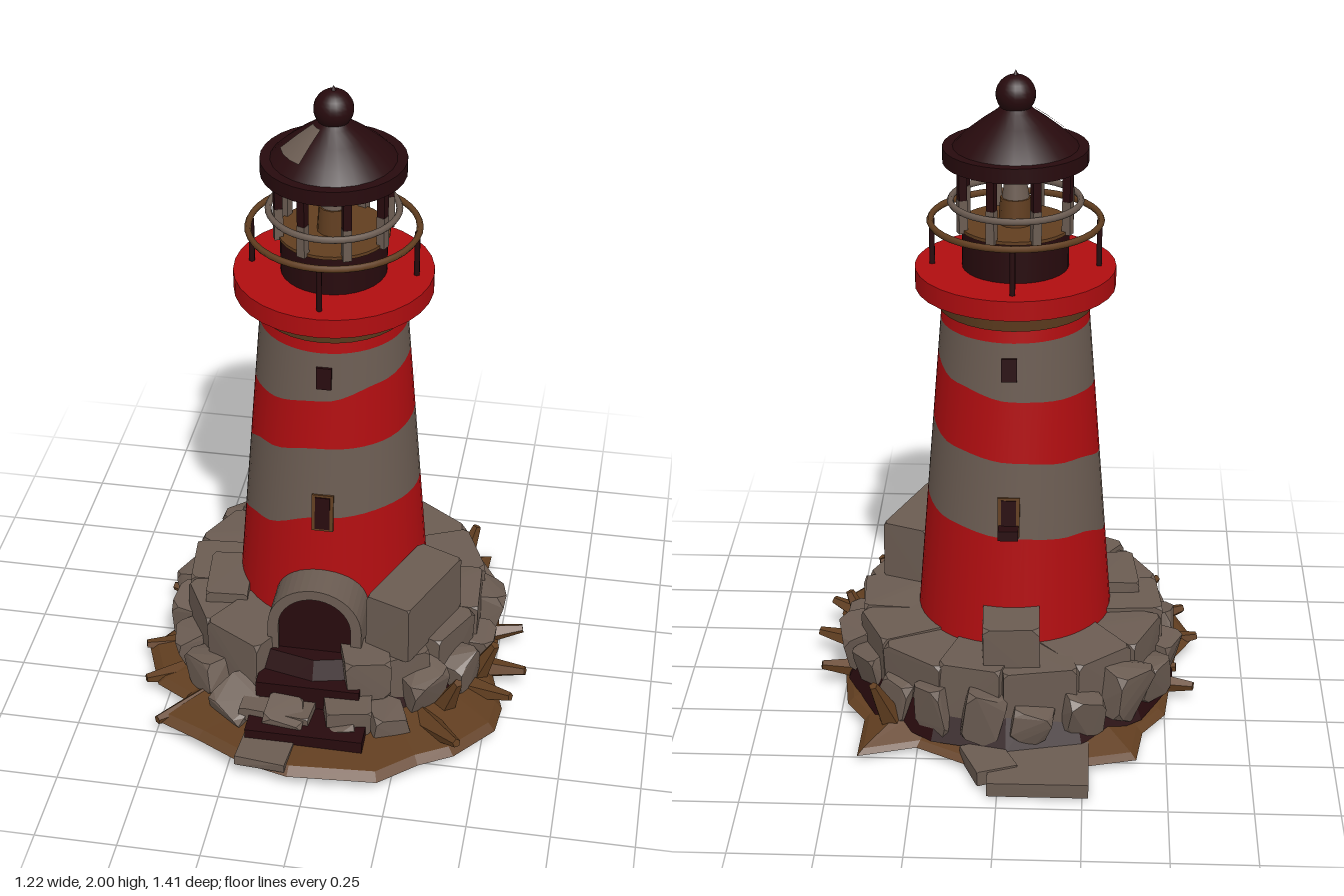
import * as THREE from 'three';
import { ConvexGeometry } from 'three/addons/geometries/ConvexGeometry.js';

const TAU = Math.PI * 2;

function material(name, color) {
  const m = new THREE.MeshStandardMaterial({ color });
  m.name = name;
  return m;
}

// Seeded random numbers for irregular rocks
let seed = 7;
function rand(a, b) {
  seed = (seed * 16807) % 2147483647;
  return a + (b - a) * (seed / 2147483647);
}

// Surface through closed rings of [x, y, z] points, lowest ring first
function loft(rings, smooth) {
  const n = rings[0].length, index = [];
  for (let r = 0; r < rings.length - 1; r++) {
    for (let i = 0; i < n; i++) {
      const a = r * n + i, b = r * n + (i + 1) % n;
      index.push(a, b, b + n, a, b + n, a + n);
    }
  }
  let g = new THREE.BufferGeometry();
  g.setAttribute('position', new THREE.Float32BufferAttribute(rings.flat(2), 3));
  g.setIndex(index);
  if (!smooth) g = g.toNonIndexed();
  g.computeVertexNormals();
  return g;
}

// Convex boulder: a jittered box with its corners cut off
function rockGeometry(w, h, d, jitter = 0.12, cut = 0.22) {
  const pts = [];
  for (const sx of [-1, 1]) for (const sy of [-1, 1]) for (const sz of [-1, 1]) {
    const c = [sx, sy, sz].map(s => s * (1 - rand(0, jitter)));
    for (let k = 0; k < 3; k++) {
      const p = c.map((v, j) => (j === k ? v * (1 - cut * rand(0.6, 1.4)) : v));
      pts.push(new THREE.Vector3(p[0] * w / 2, p[1] * h / 2, p[2] * d / 2));
    }
  }
  return new ConvexGeometry(pts);
}

export function createModel() {
  seed = 7;
  const red = material('red paint', 0xb00d10);
  const stone = material('grey stone', 0x6b5c52);
  const brown = material('brown earth', 0x613e20);
  const dark = material('dark maroon', 0x270a0d);

  const model = new THREE.Group();
  model.name = 'lighthouse';
  const tower = new THREE.Group();
  tower.name = 'tower';
  tower.position.set(-0.03, 0, -0.03);
  model.add(tower);

  function add(parent, name, geometry, mat, x = 0, y = 0, z = 0, ry = 0) {
    const m = new THREE.Mesh(geometry, mat);
    m.name = name;
    m.position.set(x, y, z);
    m.rotation.y = ry;
    parent.add(m);
    return m;
  }
  const rock = (name, x, y, z, w, h, d, ry = 0, jitter, cut) =>
    add(model, name, rockGeometry(w, h, d, jitter, cut), stone, x, y, z, ry);
  const drum = (name, rTop, rBottom, y0, y1, mat, sides = 32) =>
    add(tower, name, new THREE.CylinderGeometry(rTop, rBottom, y1 - y0, sides), mat, 0, (y0 + y1) / 2);

  // Ground slab with a ragged shoreline and a tapered underside
  const shore = [[-.2, .66], [-.05, .7], [.22, .68], [.33, .58], [.43, .52], [.54, .38], [.55, .27],
    [.5, .1], [.5, -.1], [.48, -.25], [.42, -.34], [.425, -.53], [.25, -.48], [.1, -.56], [-.25, -.56],
    [-.41, -.52], [-.43, -.38], [-.5, -.28], [-.52, -.1], [-.54, .05], [-.6, .16], [-.53, .34],
    [-.43, .4], [-.48, .52], [-.35, .58]];
  const level = (s, y, tilt) => shore.map(([x, z]) => [x * s, y + tilt * z, z * s]);
  add(model, 'ground', loft([level(0.001, 0, 0), level(0.82, 0.004, 0), level(1, 0.038, 0.035),
    level(0.96, 0.055, 0.04), level(0.6, 0.11, 0), level(0.001, 0.11, 0)]), brown);

  // Blunt roots around the shore, then stumps leaning on the rocks: tip x, y, z, upward slope
  for (const [x, y, z, rise] of [[-.59, .055, -.15, .03], [-.61, .055, .16, .03], [-.57, .06, .33, .03],
    [-.49, .065, .52, .04], [-.54, .05, -.03, .03], [.575, .075, -.1, .1], [.605, .075, .11, .1],
    [.575, .1, .27, .15], [.44, .12, .53, .2], [.42, .21, .36, 1.2], [.51, .2, .15, 1.2], [.38, .21, -.44, 1.2]]) {
    const g = new THREE.CylinderGeometry(0.014, 0.046, 0.2, 5).toNonIndexed();
    g.translate(0, -0.1, 0);
    g.computeVertexNormals();
    const root = add(model, 'root', g, brown, x, y, z);
    root.quaternion.setFromUnitVectors(new THREE.Vector3(0, 1, 0), new THREE.Vector3(x, rise, z).normalize());
  }

  // Dark core seen between the boulders
  const core = new THREE.CylinderGeometry(0.42, 0.52, 0.22, 14).toNonIndexed();
  core.computeVertexNormals();
  add(model, 'rockCore', core, dark, -0.02, 0.16, -0.02);

  // Lower tier of loose boulders
  for (let i = 0; i < 20; i++) {
    const t = (i + 0.5) / 20 * TAU;
    const front = Math.cos(t) > 0.8;
    const h = front ? rand(0.08, 0.12) : rand(0.13, 0.2);
    const r = front ? 0.51 : rand(0.45, 0.475);
    const boulder = rock('lowerBoulder', Math.sin(t) * r - 0.02, 0.06 + h / 2, Math.cos(t) * r - 0.01,
      rand(0.12, 0.16), h, rand(0.12, 0.16), 0, 0.35, 0.4);
    boulder.rotation.set(rand(0, 0.3), t + rand(-0.2, 0.2), rand(-0.25, 0.25), 'YXZ');
  }

  // Upper terrace of fitted blocks, open at the doorway
  for (let i = 0; i < 12; i++) {
    const t = 0.62 + i / 11 * (TAU - 1.24);
    const top = rand(0.29, 0.32);
    rock('terraceBlock', Math.sin(t) * 0.35 - 0.02, (top + 0.1) / 2, Math.cos(t) * 0.36 - 0.02,
      rand(0.2, 0.23), top - 0.1, 0.24, t + rand(-0.1, 0.1), 0.1, 0.16);
  }

  // Large blocks beside and behind the tower
  rock('largeSideBlock', 0.26, 0.385, 0.21, 0.15, 0.2, 0.33, -0.4, 0.06, 0.1);
  rock('backBlock', -0.03, 0.34, -0.37, 0.18, 0.17, 0.18, 0.05, 0.1, 0.22);
  rock('leftBlock', -0.34, 0.26, 0.1, 0.14, 0.16, 0.22, 0.1, 0.1, 0.16);
  rock('backSlab', -0.12, 0.03, -0.59, 0.3, 0.045, 0.24, 0, 0.02, 0.04);
  rock('backSlabWedge', 0.03, 0.035, -0.57, 0.13, 0.05, 0.16, 0.4, 0.1, 0.1);

  // Doorstep and path
  add(model, 'upperStep', new THREE.BoxGeometry(0.32, 0.16, 0.16), dark, -0.03, 0.13, 0.38);
  add(model, 'lowerStep', new THREE.BoxGeometry(0.36, 0.08, 0.14), dark, -0.02, 0.09, 0.52);
  rock('stepSlab', -0.12, 0.13, 0.48, 0.23, 0.05, 0.11, -0.1);
  rock('stepSlab', 0.1, 0.14, 0.48, 0.15, 0.09, 0.1, 0.2);
  rock('doorBoulder', 0.14, 0.235, 0.37, 0.15, 0.15, 0.14, 0.3, 0.15, 0.3);
  rock('pathSlab', -0.13, 0.085, 0.61, 0.16, 0.03, 0.16, -0.1, 0.08, 0.08);

  // Tower wall split into wavy bands; heights at eight compass points from the front
  const wave = v => t => {
    const f = (t / TAU) * 8, i = Math.floor(f) % 8, k = (1 - Math.cos((f % 1) * Math.PI)) / 2;
    return v[i] * (1 - k) + v[(i + 1) % 8] * k;
  };
  const flat = y => () => y;
  const wallRadius = y => 0.297 - 0.077 * (y - 0.3) / 0.97;
  const edges = [flat(0.2),
    wave([.69, .70, .69, .66, .64, .62, .56, .62]),
    wave([.93, .93, .94, .90, .88, .86, .82, .89]),
    wave([1.09, 1.13, 1.15, 1.10, 1.07, 1.06, 1.05, 1.06]),
    flat(1.25), flat(1.3)];
  for (let b = 0; b < 5; b++) {
    const rings = edges.slice(b, b + 2).map(edge => Array.from({ length: 48 }, (_, i) => {
      const t = i / 48 * TAU, y = edge(t), r = wallRadius(y);
      return [Math.sin(t) * r, y, Math.cos(t) * r];
    }));
    add(tower, 'wallBand', loft(rings, true), b % 2 ? stone : red);
  }

  // Windows at front and back
  for (const [y, h] of [[0.71, 0.11], [1.17, 0.07]]) {
    for (const side of [1, -1]) {
      const w = new THREE.Group();
      w.name = 'window';
      w.position.set(0.01, y, side * (wallRadius(y) + 0.001));
      w.rotation.set(-0.08 * side, side > 0 ? 0 : Math.PI, 0);
      tower.add(w);
      if (h > 0.1) {
        add(w, 'windowFrame', new THREE.BoxGeometry(0.066, h + 0.015, 0.008), brown);
        if (side < 0) add(w, 'windowSill', new THREE.BoxGeometry(0.06, 0.03, 0.05), dark, 0, -0.04, 0.025);
      }
      add(w, 'windowPane', new THREE.BoxGeometry(0.045, h, 0.009), dark, 0, 0, 0.003);
    }
  }

  // Arched doorway
  const arch = (r, base) => {
    const s = new THREE.Shape();
    s.moveTo(-r, base);
    s.lineTo(r, base);
    s.lineTo(r, 0.36);
    s.absarc(0, 0.36, r, 0, Math.PI, false);
    s.closePath();
    return s;
  };
  const surround = arch(0.145, 0.19);
  surround.holes.push(arch(0.112, 0.2));
  const extrude = (shape, depth) => new THREE.ExtrudeGeometry(shape, { depth, bevelEnabled: false, curveSegments: 10 });
  add(model, 'doorSurround', extrude(surround, 0.17), stone, -0.025, 0, 0.19);
  add(model, 'door', extrude(arch(0.114, 0.2), 0.12), dark, -0.025, 0, 0.23);

  // Collar, gallery and railing
  drum('collar', 0.24, 0.228, 1.29, 1.35, brown);
  drum('gallery', 0.296, 0.296, 1.35, 1.41, red);
  const ring = (name, r, tube, y, mat) => {
    const m = add(tower, name, new THREE.TorusGeometry(r, tube, 6, 40), mat, 0, y);
    m.rotation.x = Math.PI / 2;
  };
  ring('galleryRail', 0.25, 0.01, 1.55, brown);
  for (let i = 0; i < 4; i++) {
    const t = i / 4 * TAU;
    add(tower, 'railPost', new THREE.CylinderGeometry(0.009, 0.009, 0.14, 6), dark,
      Math.sin(t) * 0.245, 1.48, Math.cos(t) * 0.245);
  }

  // Lantern room
  drum('lanternBase', 0.157, 0.157, 1.41, 1.53, dark);
  drum('lanternFloor', 0.165, 0.165, 1.53, 1.54, brown);
  drum('lampStand', 0.045, 0.05, 1.54, 1.62, brown, 12);
  drum('lamp', 0.022, 0.04, 1.62, 1.74, stone, 12);
  ring('lanternRail', 0.19, 0.01, 1.61, stone);
  for (let i = 0; i < 8; i++) {
    const t = (i + 0.5) / 8 * TAU, x = Math.sin(t) * 0.165, z = Math.cos(t) * 0.165;
    add(tower, 'columnFoot', new THREE.BoxGeometry(0.026, 0.1, 0.026), stone, x, 1.58, z, t);
    add(tower, 'column', new THREE.BoxGeometry(0.024, 0.11, 0.024), dark, x, 1.685, z, t);
  }

  // Roof with a weathered patch, ball and tip
  drum('eave', 0.212, 0.212, 1.73, 1.775, dark);
  const slope = lift => [[.185, 1.773], [.15, 1.808], [.1, 1.848], [.055, 1.88], [.035, 1.9]]
    .map(([r, y]) => new THREE.Vector2(r + lift, y + lift));
  add(tower, 'roof', new THREE.LatheGeometry(slope(0), 24), dark);
  add(tower, 'roofPatch', new THREE.LatheGeometry(slope(0.003).slice(1, 4), 3, 19 / 24 * TAU, 3 / 24 * TAU), stone);
  add(tower, 'roofBall', new THREE.SphereGeometry(0.058, 20, 14), dark, 0, 1.928);
  add(tower, 'roofTip', new THREE.ConeGeometry(0.02, 0.04, 10), dark, 0, 1.98);

  return model;
}
